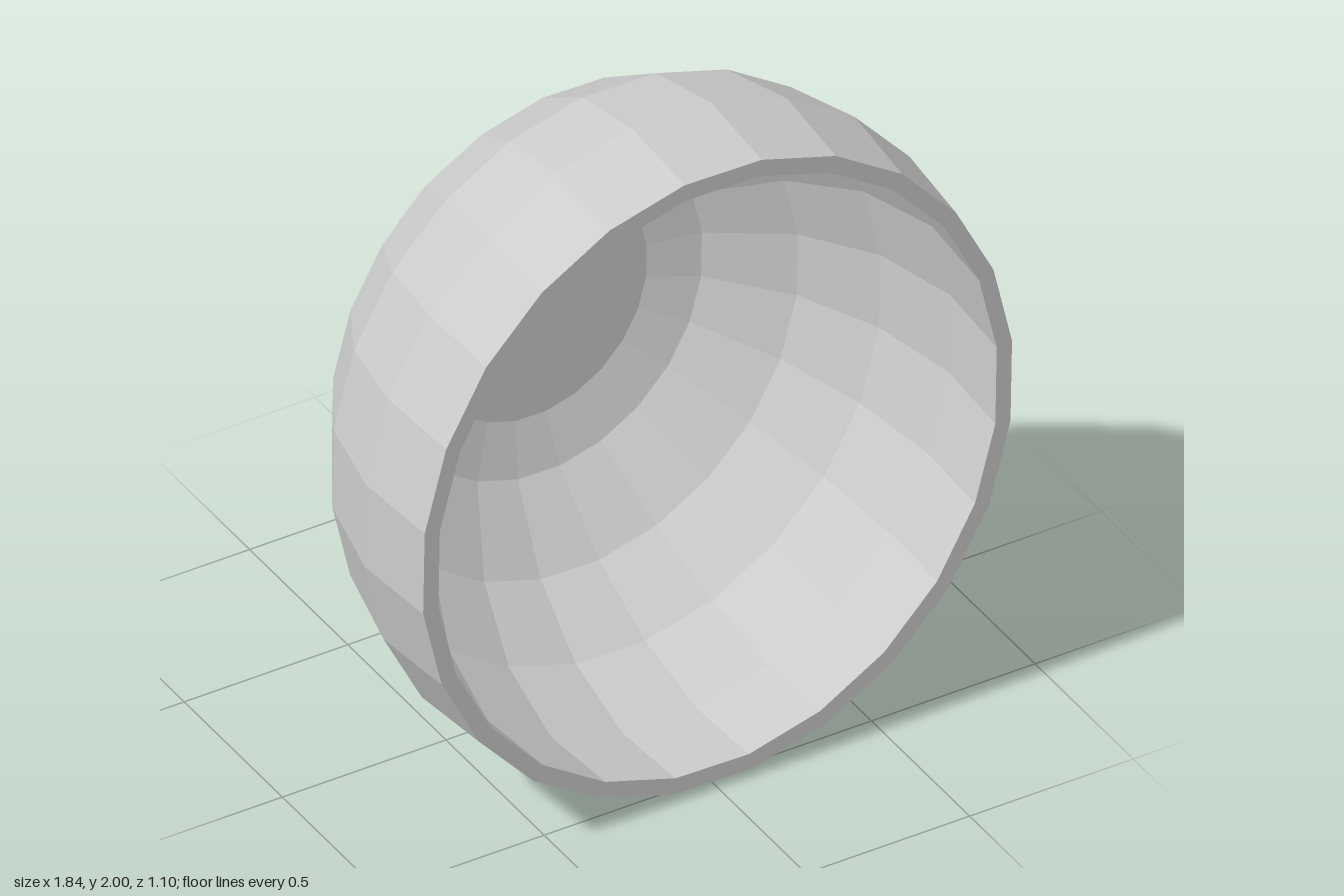
import * as THREE from 'three';

const SIDES = 24;
const TURN = THREE.MathUtils.degToRad(6.4); // where the facets start around the axis
const X_SCALE = 0.92; // the bowl is slightly oval

const material = new THREE.MeshStandardMaterial({ color: 0xcccccc, flatShading: true });

// Turns a [radius, z] profile around the z axis, centred at y = 1
function turned(name, profile) {
  const points = profile.map(([r, z]) => new THREE.Vector2(r, z));
  const geometry = new THREE.LatheGeometry(points, SIDES, TURN);
  geometry.rotateX(Math.PI / 2);
  geometry.scale(X_SCALE, 1, 1);
  geometry.translate(0, 1, 0);
  const mesh = new THREE.Mesh(geometry, material);
  mesh.name = name;
  return mesh;
}

export function createModel() {
  const group = new THREE.Group();
  group.name = 'bowl';

  // Hollow wall: outside from foot to rim, then inside down to the flat floor
  group.add(turned('bowlShell', [
    [0.434, -0.45], [0.56, -0.395], [0.79, -0.21], [0.94, 0.02], [1.006, 0.285], [0.984, 0.55],
    [0.933, 0.55], [0.95, 0.285], [0.885, 0.03], [0.747, -0.18], [0.535, -0.345], [0.38, -0.39], [0, -0.39],
  ]));

  // Short round foot at the back
  group.add(turned('foot', [[0, -0.55], [0.434, -0.55], [0.434, -0.45]]));

  return group;
}
